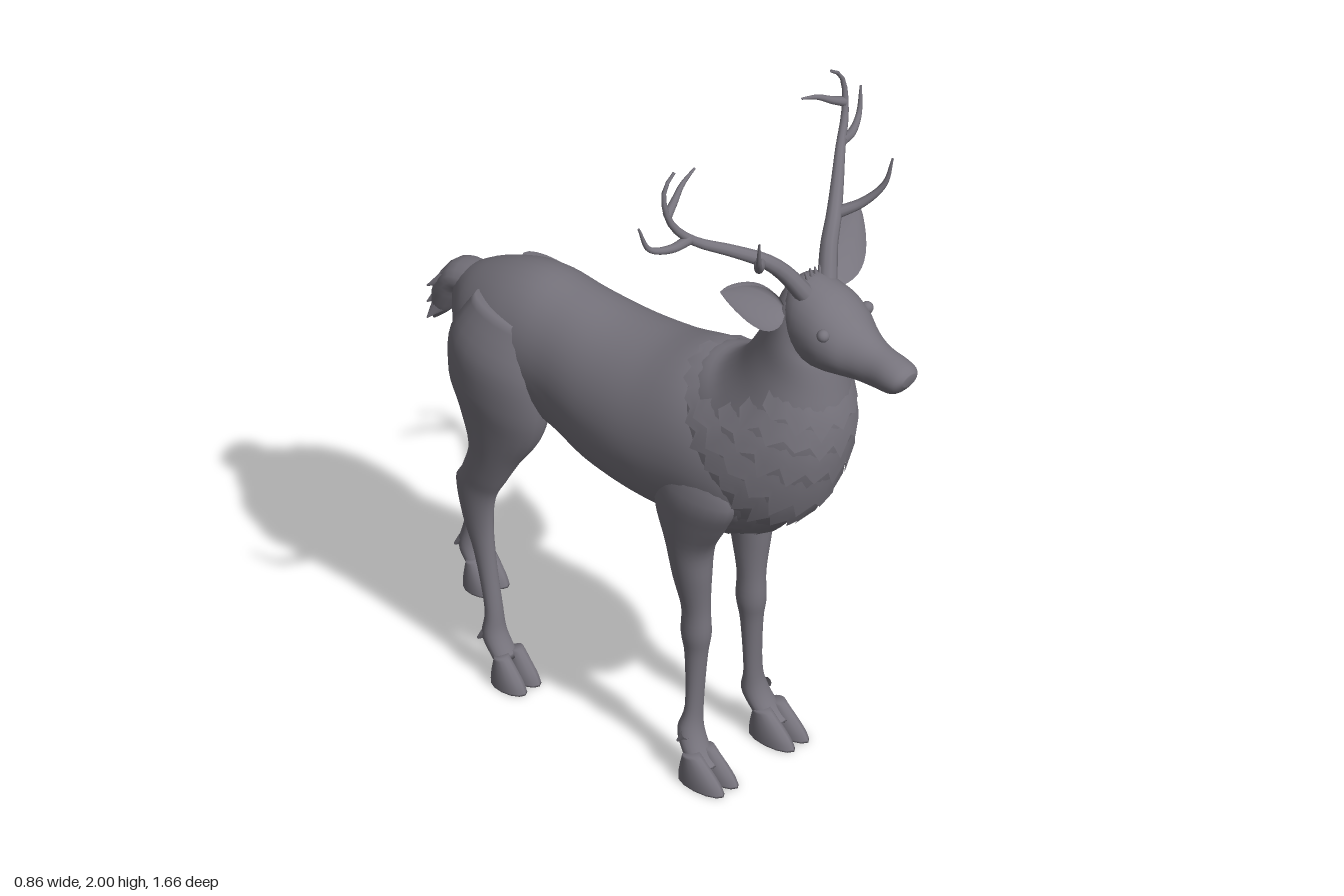
import * as THREE from 'three';

const hide = new THREE.MeshStandardMaterial({ color: 0x77747d, side: THREE.DoubleSide });
hide.name = 'grey hide';

// A section is [zA, yA, zB, yB, halfWidth, xCentre]: an ellipse spanning A to B.
const spline = (a, b, c, d, t) =>
  0.5 * (2 * b + (c - a) * t + (2 * a - 5 * b + 4 * c - d) * t * t + (3 * b - a - 3 * c + d) * t * t * t);

function sectionAt(list, t) {
  const n = list.length - 1;
  const i = Math.min(Math.floor(t), n - 1);
  const at = (k) => list[Math.max(0, Math.min(n, k))];
  return [0, 1, 2, 3, 4, 5].map((k) =>
    spline(at(i - 1)[k] || 0, at(i)[k] || 0, at(i + 1)[k] || 0, at(i + 2)[k] || 0, t - i));
}

function ringPoint(list, t, angle, grow = 1) {
  const [za, ya, zb, yb, w, x = 0] = sectionAt(list, t);
  const c = Math.cos(angle) * grow, s = Math.sin(angle) * grow / 2;
  return [x + c * w, (ya + yb) / 2 + s * (ya - yb), (za + zb) / 2 + s * (za - zb)];
}

function makeMesh(name, pos, idx) {
  const g = new THREE.BufferGeometry();
  g.setAttribute('position', new THREE.Float32BufferAttribute(pos, 3));
  g.setIndex(idx);
  g.computeVertexNormals();
  const m = new THREE.Mesh(g, hide);
  m.name = name;
  return m;
}

// Closed smooth body through the sections, wound so that it faces outwards
function loft(name, list, sides = 24, sub = 4) {
  const pos = [], idx = [], rows = (list.length - 1) * sub;
  for (let r = 0; r <= rows; r++)
    for (let s = 0; s < sides; s++) pos.push(...ringPoint(list, r / sub, s / sides * Math.PI * 2));
  const end = (rows + 1) * sides;
  for (const t of [0, list.length - 1]) pos.push(...ringPoint(list, t, 0, 0));
  for (let s = 0; s < sides; s++) {
    const n = (s + 1) % sides;
    for (let r = 0; r < rows; r++) {
      const a = r * sides + s, b = r * sides + n;
      idx.push(a, b, a + sides, b, b + sides, a + sides);
    }
    idx.push(end, n, s, end + 1, rows * sides + s, rows * sides + n);
  }
  let volume = 0;
  const v = (i) => new THREE.Vector3().fromArray(pos, i * 3);
  for (let i = 0; i < idx.length; i += 3) volume += v(idx[i]).dot(v(idx[i + 1]).cross(v(idx[i + 2])));
  if (volume < 0) idx.reverse();
  return makeMesh(name, pos, idx);
}

// Jagged skirt of fur hanging on a lofted surface
function furRow(list, top, drop, span, spikes, flare) {
  const pos = [], idx = [], n = spikes * 2;
  for (let i = 0; i <= n; i++) {
    const angle = Math.PI / 2 + (i / n * 2 - 1) * span;
    const len = drop * (i % 2 ? 1 + 0.15 * Math.sin(i * 2.3) : 0.6);
    for (let k = 0; k <= 3; k++)
      pos.push(...ringPoint(list, Math.max(0, top - len * k / 3), angle, 0.985 + flare * k / 3));
    if (i < n) for (let k = 0; k < 3; k++) {
      const a = i * 4 + k, b = a + 4;
      idx.push(a, a + 1, b, b, a + 1, b + 1);
    }
  }
  return makeMesh('maneFur', pos, idx);
}

// Round tapering horn along a curve
function horn(name, points, r0, r1) {
  const curve = new THREE.CatmullRomCurve3(points.map((p) => new THREE.Vector3(...p)));
  const steps = 20, sides = 10;
  const g = new THREE.TubeGeometry(curve, steps, 1, sides);
  const p = g.attributes.position, v = new THREE.Vector3();
  for (let i = 0; i < p.count; i++) {
    const u = Math.floor(i / (sides + 1)) / steps, c = curve.getPointAt(u);
    v.fromBufferAttribute(p, i).sub(c).multiplyScalar(r0 + (r1 - r0) * u).add(c);
    p.setXYZ(i, v.x, v.y, v.z);
  }
  const m = new THREE.Mesh(g, hide);
  m.name = name;
  return m;
}

// Cupped leaf-shaped ear
function ear(side) {
  const pos = [], idx = [], U = 12, V = 8;
  const base = new THREE.Vector3(0.08, 1.54, 0.465), tip = new THREE.Vector3(0.265, 1.668, 0.415);
  const across = new THREE.Vector3(0.45, -0.7, 0.45).normalize();
  const back = new THREE.Vector3(-0.1, 0.3, -0.9).normalize();
  for (let i = 0; i <= U; i++) for (let j = 0; j <= V; j++) {
    const u = i / U, a = (j / V - 0.5) * Math.PI * 1.1;
    const w = 0.012 + 0.05 * Math.pow(Math.sin(Math.PI * Math.pow(u, 0.9)), 0.8) - 0.011 * u;
    const p = base.clone().lerp(tip, u).addScaledVector(across, w * Math.sin(a))
      .addScaledVector(back, w * 0.7 * (Math.cos(a) - 0.5));
    pos.push(p.x * side, p.y, p.z);
    if (i < U && j < V) {
      const k = i * (V + 1) + j;
      idx.push(k, k + 1, k + V + 1, k + 1, k + V + 2, k + V + 1);
    }
  }
  return makeMesh('ear', pos, idx);
}

const torso = [
  [.42, 1.1, .42, .88, .1], [.36, 1.17, .36, .79, .165], [.27, 1.22, .27, .74, .195],
  [.15, 1.24, .15, .725, .207], [0, 1.2, 0, .73, .211], [-.15, 1.185, -.15, .745, .195],
  [-.3, 1.195, -.28, .78, .17], [-.42, 1.205, -.4, .8, .165], [-.52, 1.185, -.5, .78, .165],
  [-.62, 1.14, -.6, .84, .13], [-.69, 1.09, -.65, .92, .07]];
const neck = [
  [.27, .72, .1, 1.15, .165], [.4, .8, .12, 1.22, .185], [.51, .92, .17, 1.25, .185],
  [.575, 1.08, .23, 1.265, .17], [.59, 1.2, .29, 1.32, .145], [.575, 1.3, .34, 1.4, .122],
  [.56, 1.37, .39, 1.49, .11], [.55, 1.4, .43, 1.58, .095], [.55, 1.5, .48, 1.61, .07]];
const head = [
  [.42, 1.56, .46, 1.42, .06], [.47, 1.615, .52, 1.37, .095], [.55, 1.605, .58, 1.372, .103],
  [.61, 1.575, .63, 1.38, .091], [.66, 1.535, .68, 1.385, .068], [.72, 1.505, .73, 1.385, .053],
  [.78, 1.49, .78, 1.39, .052], [.815, 1.478, .805, 1.405, .045], [.83, 1.462, .825, 1.43, .025]];
const tail = [
  [-.62, 1.12, -.6, 1.02, .05], [-.72, 1.1, -.67, 1.03, .06], [-.775, 1.02, -.7, .99, .058],
  [-.785, .95, -.74, .93, .042], [-.797, .885, -.787, .885, .008]];
const sheath = [
  [-.18, .77, -.18, .74, .02], [-.24, .8, -.24, .74, .04], [-.31, .82, -.31, .75, .045], [-.37, .83, -.36, .79, .02]];
const frontLeg = [
  [.33, 1.02, .13, 1.06, .03, .14], [.36, .9, .1, .92, .058, .147], [.31, .8, .09, .82, .063, .135],
  [.25, .7, .115, .7, .06, .118], [.238, .6, .13, .6, .048, .113], [.23, .5, .152, .5, .037, .106],
  [.232, .42, .15, .42, .038, .105], [.222, .35, .162, .35, .03, .106], [.212, .2, .17, .2, .028, .112],
  [.22, .13, .155, .13, .037, .122], [.25, .075, .18, .08, .039, .13], [.28, .05, .2, .045, .035, .135]];
const rearwardLeg = [
  [-.36, 1.1, -.58, 1.13, .045, .1], [-.33, .98, -.64, 1.02, .085, .115], [-.33, .86, -.645, .9, .085, .12],
  [-.39, .76, -.635, .8, .07, .12], [-.5, .68, -.66, .7, .052, .125], [-.6, .6, -.735, .615, .04, .128],
  [-.67, .54, -.762, .55, .032, .13], [-.715, .42, -.767, .42, .026, .13], [-.735, .3, -.78, .3, .024, .132],
  [-.755, .18, -.805, .18, .027, .134], [-.758, .11, -.82, .11, .036, .135], [-.735, .06, -.79, .06, .036, .135]];
const forwardLeg = [
  [-.34, 1.1, -.56, 1.13, .045, .1], [-.31, .98, -.62, 1.02, .085, .115], [-.31, .86, -.625, .9, .085, .12],
  [-.34, .76, -.59, .8, .07, .12], [-.4, .67, -.555, .69, .052, .125], [-.445, .59, -.578, .6, .04, .128],
  [-.475, .53, -.6, .55, .032, .13], [-.483, .45, -.575, .44, .028, .13], [-.475, .35, -.535, .35, .025, .132],
  [-.452, .2, -.495, .2, .026, .134], [-.44, .13, -.5, .12, .035, .135], [-.405, .07, -.465, .07, .037, .135]];
const toe = [[.25, .09, .2, .08, .02], [.29, .055, .19, .045, .026], [.32, .025, .185, .02, .029], [.335, 0, .185, 0, .03]];

function leg(name, sections, side, hoofFront, hoofScale) {
  const g = new THREE.Group();
  g.name = name;
  g.add(loft('limb', sections.map((s) => [...s.slice(0, 5), s[5] * side]), 20));
  const z = (v) => hoofFront + (v - .335) * hoofScale;
  const ankle = sections[sections.length - 2];
  for (const d of [-.027, .027]) {
    g.add(loft('hoof', toe.map(([a, b, c, e, w]) => [z(a), b, z(c), e, w, side * .135 + d]), 12));
    g.add(horn('dewclaw', [[side * .135 + d * .7, .13, ankle[2] + .02], [side * .135 + d * .8, .1, ankle[2] - .006]], .014, .004));
  }
  return g;
}

function antler(side) {
  const g = new THREE.Group();
  g.name = 'antler';
  const add = (name, pts, r0, r1) => g.add(horn(name, pts.map(([x, y, z]) => [x * side, y, z]), r0, r1));
  add('antlerBeam', [[.045, 1.59, .505], [.085, 1.66, .475], [.13, 1.71, .45], [.2, 1.755, .4], [.28, 1.8, .34],
    [.33, 1.86, .31], [.345, 1.93, .295], [.335, 1.97, .29], [.3, 2, .29]], .026, .004);
  add('browTine', [[.14, 1.71, .44], [.2, 1.74, .49], [.24, 1.79, .525], [.255, 1.868, .54]], .017, .003);
  add('outerTine', [[.29, 1.81, .335], [.345, 1.8, .32], [.4, 1.815, .295], [.425, 1.885, .28]], .015, .003);
  add('innerTine', [[.338, 1.89, .3], [.3, 1.91, .29], [.26, 1.935, .28], [.205, 1.957, .275]], .013, .003);
  return g;
}

export function createModel() {
  const deer = new THREE.Group();
  deer.name = 'stag';
  deer.add(loft('torso', torso, 36), loft('neck', neck, 32), loft('head', head, 28), loft('tail', tail, 16), loft('bellyTuft', sheath, 12));

  // Layers of mane: front rows, then full collars across the withers
  [[4.7, 1.5, 7], [4.1, 1.8, 9], [3.4, 2.0, 11], [2.7, 2.2, 13]].forEach(([t, span, n]) =>
    deer.add(furRow(neck, t, .85, span, n, .075)));
  deer.add(furRow(neck, 2.2, .9, Math.PI, 25, .06), furRow(neck, 1.4, .95, Math.PI, 25, .045));

  deer.add(leg('leftHindLeg', rearwardLeg, 1, -.69, .65), leg('rightHindLeg', forwardLeg, -1, -.34, .75));
  for (const side of [1, -1]) {
    deer.add(leg('frontLeg', frontLeg, side, .335, 1), ear(side), antler(side));
    const eye = new THREE.Mesh(new THREE.SphereGeometry(.017, 14, 10), hide);
    eye.name = 'eye';
    eye.position.set(side * .084, 1.525, .605);
    deer.add(eye);
    // Ragged fur on elbows and tail
    for (let i = 0; i < 3; i++) {
      deer.add(horn('elbowFur', [[side * .13, .78 - i * .05, .14], [side * .13, .71 - i * .035, .105 + i * .008]], .022, .002));
      deer.add(horn('tailFur', [[side * .03, 1.06 - i * .05, -.72 - i * .015], [side * .045, 1.01 - i * .05, -.78]], .022, .002));
    }
  }
  // Forelock
  for (let i = -2; i <= 2; i++)
    deer.add(horn('forelock', [[i * .014, 1.59, .5], [i * .018, 1.635 - Math.abs(i) * .004, .485]], .012, .002));
  return deer;
}
